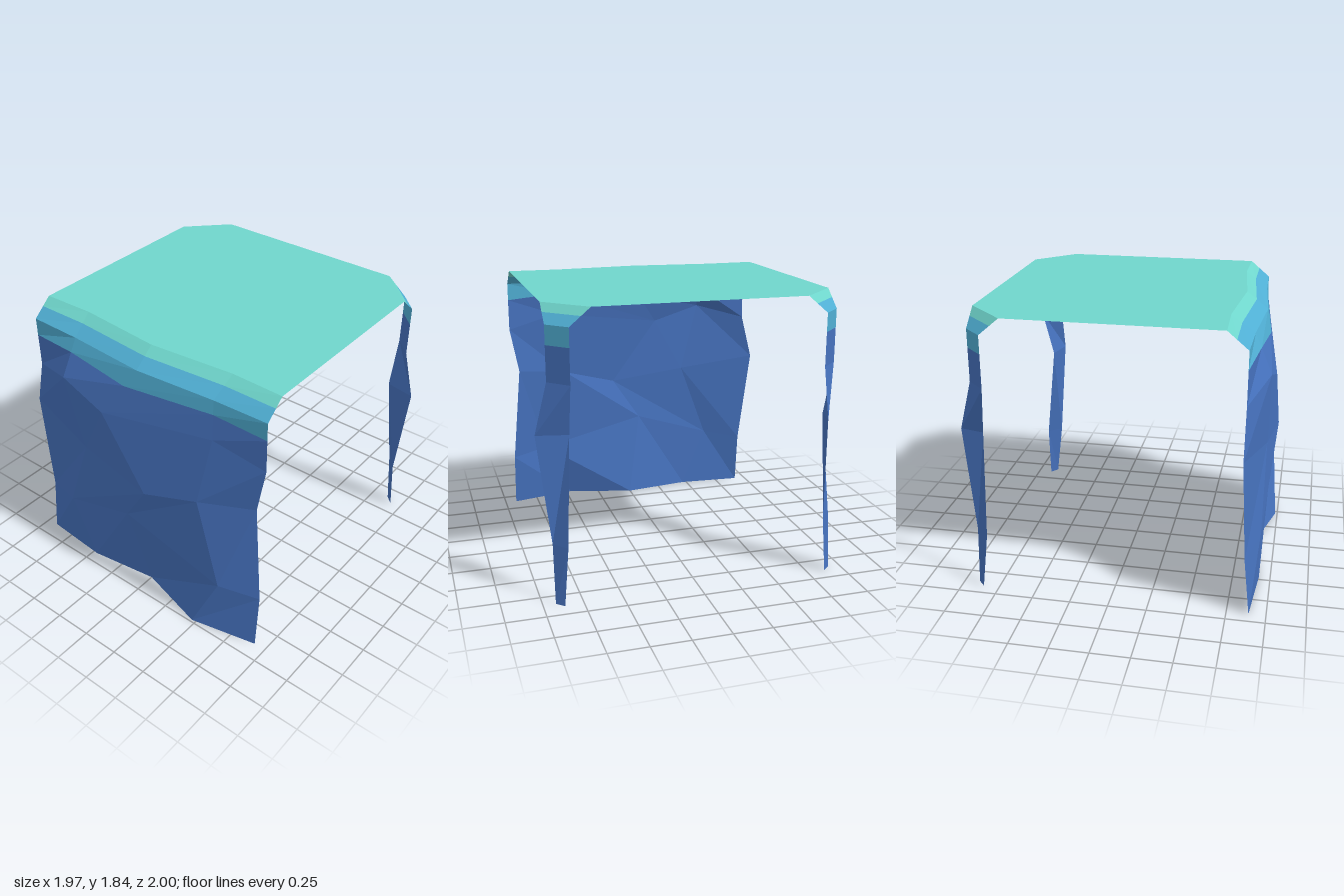
import * as THREE from 'three';

const mat = (name, color) => {
  const m = new THREE.MeshStandardMaterial({ color, flatShading: true, side: THREE.DoubleSide });
  m.name = name;
  return m;
};

// Faceted sheet through rows of [x, y, z] points, listed from top to bottom.
function sheet(name, rows, material) {
  const pos = [];
  for (let r = 0; r < rows.length - 1; r++) {
    for (let c = 0; c < rows[r].length - 1; c++) {
      const a = rows[r][c], b = rows[r][c + 1], d = rows[r + 1][c], e = rows[r + 1][c + 1];
      pos.push(...a, ...d, ...b, ...b, ...d, ...e);
    }
  }
  const g = new THREE.BufferGeometry();
  g.setAttribute('position', new THREE.Float32BufferAttribute(pos, 3));
  g.computeVertexNormals();
  const mesh = new THREE.Mesh(g, material);
  mesh.name = name;
  return mesh;
}

const mix = (p, q, t) => p.map((v, i) => v + (q[i] - v) * t);

// Row between two rows, at one fraction or at a height per column.
const between = (a, b, t) => a.map((p, i) => mix(p, b[i], t));
const atHeights = (a, b, ys) => a.map((p, i) => mix(p, b[i], (p[1] - ys[i]) / (p[1] - b[i][1])));

export function createModel() {
  const teal = mat('teal', 0x6fd6cc);
  const sky = mat('skyBlue', 0x50afd4);
  const blue = mat('blue', 0x4672be);
  const model = new THREE.Group();
  model.name = 'table';

  // Flat top with two cut corners and a wavy edge over the side panel
  const outline = [[-0.69, 0.92], [0.65, 0.92], [0.9, 0.67], [0.9, -0.67], [0.65, -0.92],
    [-0.69, -0.92], [-0.68, -0.57], [-0.73, 0], [-0.68, 0.57]];
  const topGeo = new THREE.ShapeGeometry(new THREE.Shape(outline.map(([x, z]) => new THREE.Vector2(x, -z))));
  topGeo.rotateX(-Math.PI / 2).translate(0, 1.84, 0);
  const top = new THREE.Mesh(topGeo, teal);
  top.name = 'tableTop';
  model.add(top);

  // Each support: sloped shoulder, coloured band, then the blue lower part
  function support(name, rows, bandHeights) {
    const group = new THREE.Group();
    group.name = name;
    const split = between(rows[0], rows[1], 0.45);
    const band = atHeights(rows[1], rows[2], bandHeights);
    group.add(
      sheet(name + 'Shoulder', [rows[0], split], teal),
      sheet(name + 'Band', [split, rows[1], band], sky),
      sheet(name + 'Lower', [band, ...rows.slice(2)], blue));
    model.add(group);
  }

  // Creased side panel, back to front
  support('sidePanel', [
    [[-0.69, 1.84, -0.92], [-0.68, 1.84, -0.57], [-0.73, 1.84, 0], [-0.68, 1.84, 0.57], [-0.69, 1.84, 0.92]],
    [[-0.82, 1.73, -0.92], [-0.83, 1.73, -0.55], [-0.87, 1.73, 0], [-0.83, 1.73, 0.55], [-0.82, 1.73, 0.92]],
    [[-0.82, 1.39, -0.92], [-0.94, 1.48, -0.58], [-0.96, 1.37, -0.24], [-0.87, 1.48, 0.57], [-0.82, 1.39, 0.92]],
    [[-0.82, 1.07, -1.0], [-0.93, 0.98, -0.45], [-0.98, 0.9, 0.1], [-0.93, 1.01, 0.49], [-0.82, 1.07, 0.86]],
    [[-0.85, 0.38, -0.92], [-0.93, 0.43, -0.65], [-0.945, 0.6, -0.1], [-0.945, 0.41, 0.66], [-0.85, 0.38, 0.92]],
    [[-0.89, 0, -0.92], [-0.925, 0, -0.47], [-0.86, 0, 0], [-0.985, 0, 0.47], [-0.89, 0, 0.92]],
  ], [1.61, 1.64, 1.6, 1.64, 1.61]);

  // Corner legs: alike except for the twist at mid height
  const leg = (s, twist) => {
    const rows = [
      [[0.65, 1.84, s * 0.92], [0.9, 1.84, s * 0.67]],
      [[0.78, 1.73, s * 0.92], [0.9, 1.73, s * 0.8]],
      [[0.78, 1.39, s * 0.92], [0.9, 1.39, s * 0.8]],
      twist,
      [[0.81, 0.38, s * 0.92], [0.9, 0.38, s * 0.84]],
      [[0.855, 0, s * 0.92], [0.9, 0, s * 0.87]],
    ];
    return s > 0 ? rows : rows.map((r) => [r[1], r[0]]);
  };
  support('frontLeg', leg(1, [[0.78, 1.07, 1.0], [0.82, 1.07, 0.8]]), [1.61, 1.61]);
  support('backLeg', leg(-1, [[0.82, 1.07, -0.84], [0.98, 1.07, -0.8]]), [1.61, 1.61]);

  return model;
}
